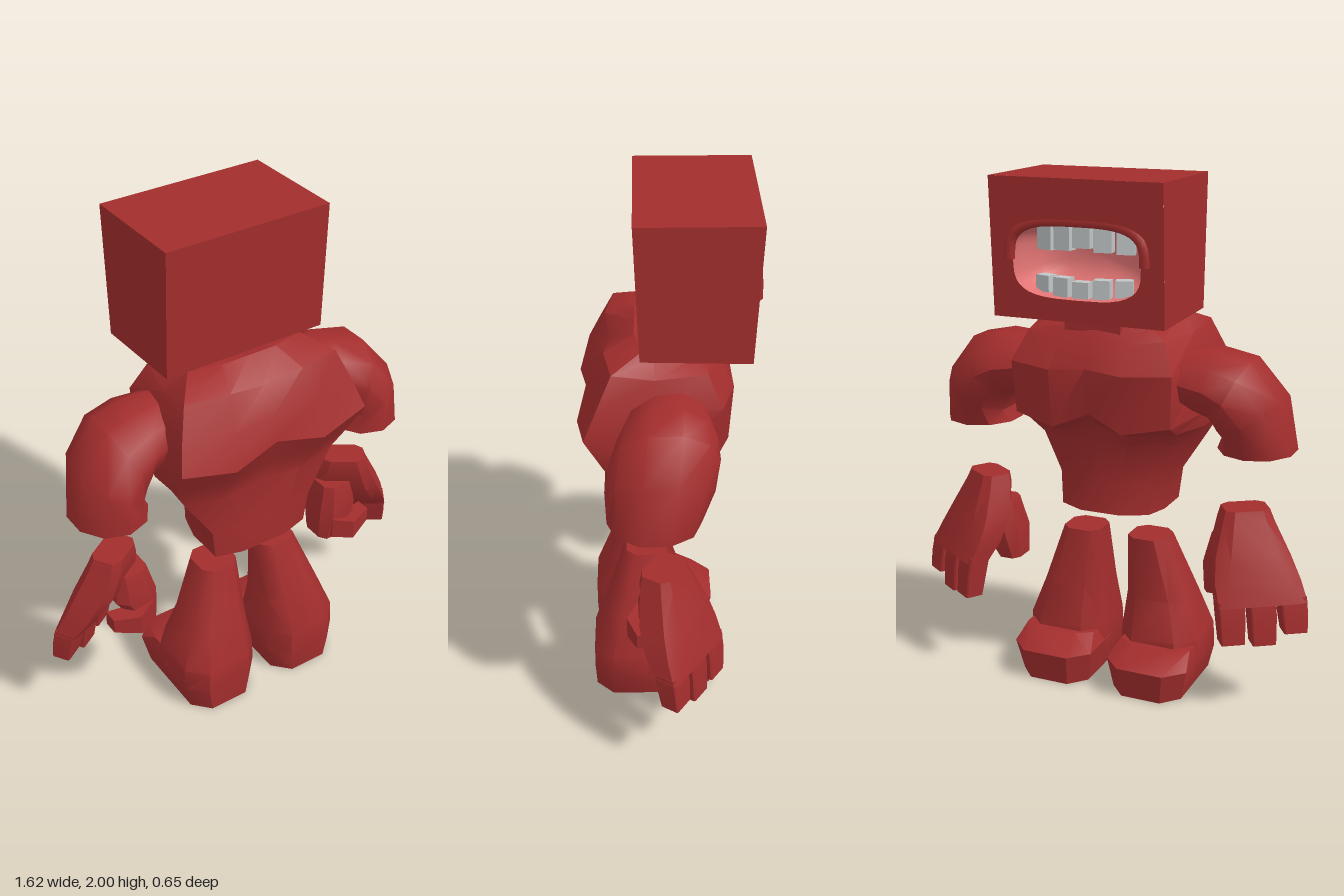
import * as THREE from 'three';
import { toCreasedNormals } from 'three/addons/utils/BufferGeometryUtils.js';

const skin = new THREE.MeshStandardMaterial({ color: 0xa32d2d });
skin.name = 'red skin';
const flesh = new THREE.MeshStandardMaterial({ color: 0xe27474 });
flesh.name = 'pink flesh';
const enamel = new THREE.MeshStandardMaterial({ color: 0xc0c5c5 });
enamel.name = 'grey enamel';

// Skins a list of [x, y, z] rings, mirrored in x by s; faces point outward unless inward is set.
function loft(rings, { s = 1, capStart = true, capEnd = true, inward = false, crease = 0.55 } = {}) {
  const R = rings.map(r => r.map(p => new THREE.Vector3(p[0] * s, p[1], p[2])));
  const mean = list => list.reduce((a, p) => a.add(p), new THREE.Vector3()).divideScalar(list.length);
  const tris = [];
  const n = R[0].length;
  const last = R[R.length - 1];
  for (let i = 0; i < n; i++) {
    const j = (i + 1) % n;
    for (let k = 0; k + 1 < R.length; k++) {
      tris.push([R[k][i], R[k][j], R[k + 1][j]], [R[k][i], R[k + 1][j], R[k + 1][i]]);
    }
    if (capStart) tris.push([R[0][j], R[0][i], mean(R[0])]);
    if (capEnd) tris.push([last[i], last[j], mean(last)]);
  }
  const c = mean(R.flat());
  let volume = 0;
  for (const [a, b, d] of tris) {
    volume += a.clone().sub(c).dot(b.clone().sub(c).cross(d.clone().sub(c)));
  }
  const flip = (volume < 0) !== inward;
  const points = tris.flatMap(([a, b, d]) => (flip ? [a, d, b] : [a, b, d]));
  return toCreasedNormals(new THREE.BufferGeometry().setFromPoints(points), crease);
}

function add(parent, name, geometry, material = skin) {
  const mesh = new THREE.Mesh(geometry, material);
  mesh.name = name;
  parent.add(mesh);
  return mesh;
}

// Horizontal rectangle with cut corners
function octagon(y, x0, x1, z0, z1, cut = 0.22) {
  const a = (x1 - x0) * cut, b = (z1 - z0) * cut;
  return [[x0 + a, y, z0], [x1 - a, y, z0], [x1, y, z0 + b], [x1, y, z1 - b],
    [x1 - a, y, z1], [x0 + a, y, z1], [x0, y, z1 - b], [x0, y, z0 + b]];
}

function buildTorso(parent) {
  // y at +z, y at -z, half width at +z, half width at -z, z limits, ripple of the muscle edge
  const levels = [
    [.715, .72, .205, .18, .235, -.1, 0],
    [.84, .85, .22, .19, .24, -.09, 0],
    [1, 1, .33, .25, .225, -.11, .01],
    [1.09, 1.05, .385, .3, .265, -.14, .02],
    [1.19, 1.08, .4, .31, .33, -.225, .04],
    [1.32, 1.3, .37, .32, .285, -.24, .01],
    [1.45, 1.4, .325, .27, .23, -.19, -.03],
    [1.5, 1.46, .24, .2, .12, -.15, 0]
  ];
  const rings = levels.map(([yf, yb, wf, wb, zf, zb, ripple]) => {
    const dent = Math.abs(ripple) * 0.7;
    const half = [
      [0, yf + ripple, zf - dent], [wf * .48, yf, zf], [wf, yf + Math.max(ripple, 0), zf - .03],
      [(wf * 2 + wb) / 3 + .01, (yf + yb) / 2, .05],
      [wb, yb + dent, zb + .05], [wb * .45, yb, zb], [0, yb + dent * 2, zb + dent]
    ];
    return [...half, ...half.slice(1, -1).reverse().map(([x, y, z]) => [-x, y, z])];
  });
  add(parent, 'torso', loft(rings));
  add(parent, 'neck', new THREE.BoxGeometry(0.22, 0.12, 0.24)).position.set(0, 1.445, -0.045);
}

function buildHead(parent) {
  const head = new THREE.Group();
  head.name = 'head';
  parent.add(head);
  const w = 0.33;
  const faceZ = y => -0.29 - 0.05 * (y - 1.495);
  const frame = (y0, y1, z0, z1) => [[-w, y0, z0], [w, y0, z0], [w, y1, z1], [-w, y1, z1]];

  // Box walls, open on the mouth side
  add(head, 'headShell', loft([frame(1.505, 1.998, .1, .12), frame(1.495, 1.998, -.29, -.315)], { capEnd: false }));

  // Rounded mouth outline
  const bulge = v => Math.sign(v) * Math.abs(v) ** 0.6;
  const outline = (a, k) => new THREE.Vector2(.245 * k * bulge(Math.cos(a)), 1.708 + .133 * k * bulge(Math.sin(a)));
  const mouth = Array.from({ length: 36 }, (_, i) => outline(i / 18 * Math.PI, 1));

  // Face plate with the mouth opening
  const plate = new THREE.Shape(frame(1.495, 1.998, 0, 0).map(([x, y]) => new THREE.Vector2(x, y)));
  plate.holes.push(new THREE.Path(mouth));
  const face = new THREE.ShapeGeometry(plate).rotateY(Math.PI);
  const pos = face.attributes.position;
  for (let i = 0; i < pos.count; i++) pos.setZ(i, faceZ(pos.getY(i)));
  face.computeVertexNormals();
  add(head, 'face', face);

  // Mouth hollow narrowing into the head
  const ring = (k, depth) => mouth.map(p => [p.x * k, 1.708 + (p.y - 1.708) * k, faceZ(p.y) + depth]);
  add(head, 'mouthHollow', loft([ring(1, 0), ring(.98, .07), ring(.85, .16), ring(.55, .21)],
    { capStart: false, inward: true, crease: 1.2 }), flesh);

  // Upper lip, raised most at the corners
  const lip = Array.from({ length: 17 }, (_, i) => {
    const a = i / 16 * Math.PI;
    const p = outline(a, 1.06);
    return new THREE.Vector3(p.x, p.y, faceZ(p.y) + 0.002 + 0.014 * Math.sin(a));
  });
  add(head, 'upperLip', new THREE.TubeGeometry(new THREE.CatmullRomCurve3(lip), 32, 0.02, 6));

  // Two curved rows of teeth
  for (let i = 0; i < 5; i++) {
    const x = (i - 2) * 0.076;
    const bend = (x / 0.2) ** 2;
    const wobble = (i % 2) * 0.015;
    const top = add(head, 'upperTooth', new THREE.BoxGeometry(0.066, 0.085 + wobble, 0.045), enamel);
    top.position.set(x, 1.795 - 0.03 * bend, -0.235 + 0.05 * bend);
    const low = add(head, 'lowerTooth', new THREE.BoxGeometry(0.062, 0.06 + wobble, 0.045), enamel);
    low.position.set(x, 1.605 + 0.02 * bend, -0.245 + 0.04 * bend);
    top.rotation.y = low.rotation.y = -x * 2;
  }
}

function buildArm(parent, s, side) {
  // Rings from shoulder to elbow: inner xy, outer xy, z centre, z radius
  const rings = [
    [.32, 1.16, .32, 1.375, 0, .15],
    [.415, 1.13, .43, 1.38, .005, .175],
    [.44, 1.085, .56, 1.35, .015, .19],
    [.455, 1.055, .675, 1.21, .035, .19],
    [.43, 1.005, .71, 1.005, .055, .165]
  ].map(([ix, iy, ox, oy, z, r]) => Array.from({ length: 10 }, (_, i) => {
    const a = (i + 0.5) / 10 * Math.PI * 2;
    const t = 0.5 + Math.cos(a) / 1.902;
    return [ix + (ox - ix) * t, iy + (oy - iy) * t, z + Math.sin(a) * r];
  }));
  add(parent, side + 'Arm', loft(rings, { s, crease: 0.8 }));
}

function buildHand(parent, s, side) {
  const hand = new THREE.Group();
  hand.name = side + 'Hand';
  parent.add(hand);
  // Rectangle turned along the knuckle line: centre, half width a, half thickness b
  const slab = (y, x, z, a, b, cut) => octagon(y, -a, a, -b, b, cut)
    .map(([u, , v]) => [x + .83 * u - .55 * v, y, z + .55 * u + .83 * v]);
  add(hand, 'palm', loft([
    slab(.785, .54, .02, .085, .06, .18),
    slab(.74, .545, .015, .1, .07, .18),
    slab(.62, .572, -.012, .145, .082, .18),
    slab(.53, .605, -.04, .165, .07, .15),
    slab(.455, .64, -.07, .17, .05, .1)
  ], { s }));
  // Three fingers along the knuckle line
  [.34, .3, .31].forEach((tip, i) => {
    const x = .745 - .1 * i, z = -.01 - .066 * i;
    add(hand, 'finger', loft([
      slab(.475, x - .01, z + .008, .05, .042, .06),
      slab(.41, x, z, .05, .042, .06),
      slab(tip, x + .01, z - .008, .045, .036, .06)
    ], { s }));
  });
  // Thumb folded across the palm
  add(hand, 'thumbBase', loft([
    octagon(.68, .425, .56, -.05, .085),
    octagon(.56, .395, .57, -.07, .115),
    octagon(.44, .395, .49, -.04, .1)
  ], { s }));
  const joint = (x, y, z, r) => [[x, y - r, z - r], [x, y + r, z - r], [x, y + r, z + r], [x, y - r, z + r]];
  add(hand, 'thumbTip', loft([joint(.43, .5, .07, .045), joint(.51, .485, .115, .042), joint(.61, .5, .09, .03)], { s }));
}

function buildLeg(parent, s, side) {
  add(parent, side + 'Leg', loft([
    octagon(0, .055, .34, -.02, .285),
    octagon(.1, .035, .365, -.05, .29),
    octagon(.2, .04, .36, -.05, .29),
    octagon(.35, .055, .305, -.01, .24),
    octagon(.595, .06, .215, 0, .16)
  ], { s, crease: 0.8 }));
  // Toe block reaching forward to -z
  add(parent, side + 'Foot', loft([
    octagon(0, .055, .34, -.165, .15),
    octagon(.125, .035, .367, -.19, .15),
    octagon(.18, .06, .35, -.075, .12)
  ], { s }));
}

export function createModel() {
  const model = new THREE.Group();
  model.name = 'blockHeadBrute';
  buildTorso(model);
  buildHead(model);
  for (const [s, side] of [[1, 'left'], [-1, 'right']]) {
    buildArm(model, s, side);
    buildHand(model, s, side);
    buildLeg(model, s, side);
  }
  return model;
}
